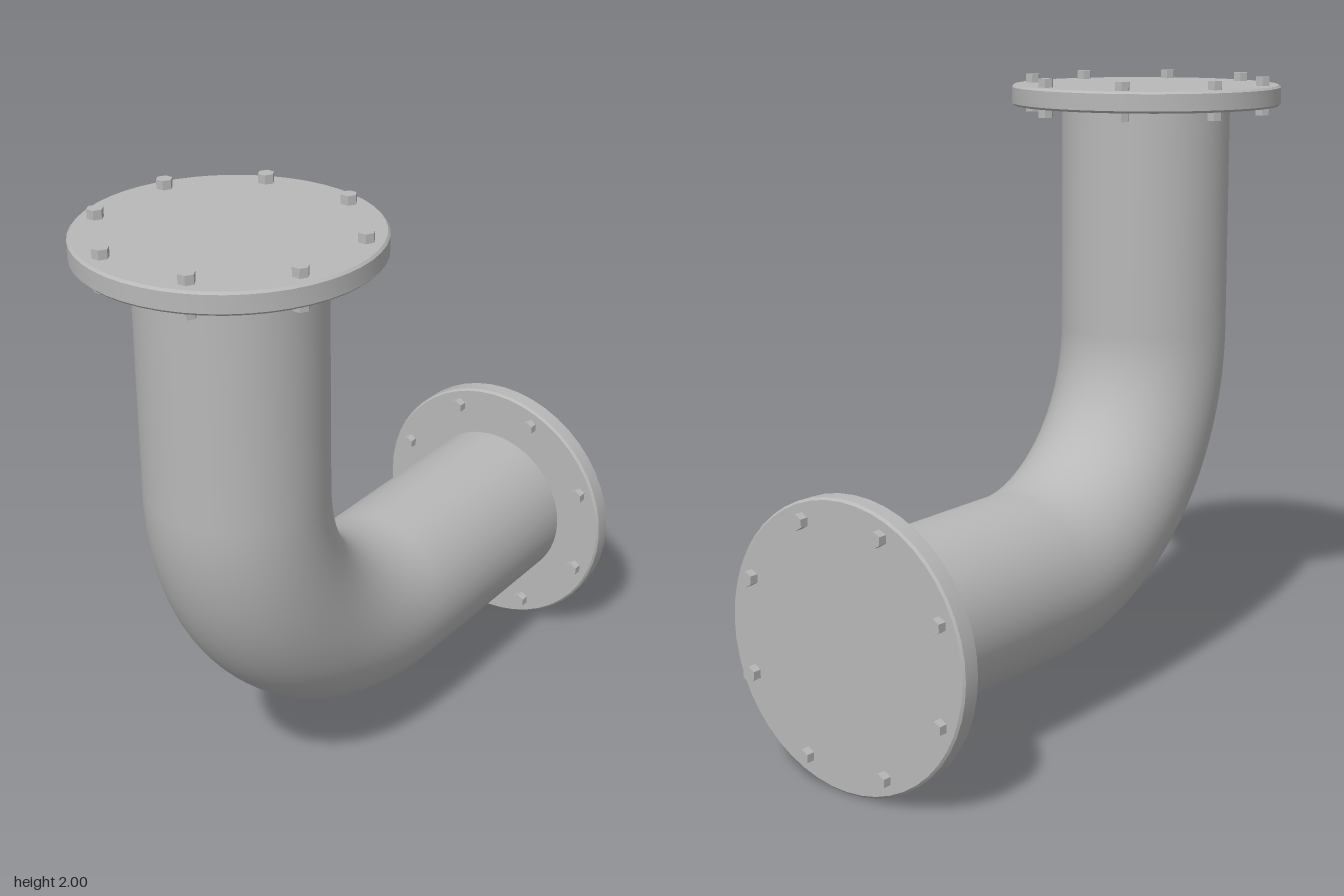
import * as THREE from 'three';
import { toCreasedNormals } from 'three/addons/utils/BufferGeometryUtils.js';

const PIPE_R = 0.278, BEND_R = 0.722, FLANGE_R = 0.444;
const AXIS_X = -0.556, AXIS_Y = 0.444; // centre lines of the two pipe legs
const BEND_X = AXIS_X + BEND_R, BEND_Y = AXIS_Y + BEND_R;

export function createModel() {
  const steel = new THREE.MeshStandardMaterial({ color: 0xb8b8b8 });
  steel.name = 'steel grey';
  const model = new THREE.Group();
  model.name = 'flangedPipeElbow';

  const add = (parent, name, geometry, x = 0, y = 0, z = 0) => {
    const mesh = new THREE.Mesh(geometry, steel);
    mesh.name = name;
    mesh.position.set(x, y, z);
    parent.add(mesh);
    return mesh;
  };

  // Quarter bend
  const bend = add(model, 'bend', new THREE.TorusGeometry(BEND_R, PIPE_R, 64, 40, Math.PI / 2), BEND_X, BEND_Y);
  bend.rotation.z = Math.PI;

  // Flange disc with softened edges, and its ring of hexagonal bolts
  const profile = [[0, -0.067], [0.437, -0.067], [FLANGE_R, -0.06], [FLANGE_R, -0.007], [0.437, 0], [0, 0]]
    .map(([r, y]) => new THREE.Vector2(r, y));
  const flangeGeo = toCreasedNormals(new THREE.LatheGeometry(profile, 48), 0.6);
  const boltGeo = toCreasedNormals(new THREE.CylinderGeometry(0.025, 0.025, 0.124, 6), 0.6);

  // One straight leg, built along +y from the bend end at y = 0
  const makeLeg = (name, length) => {
    const leg = new THREE.Group();
    leg.name = name;
    add(leg, 'pipe', new THREE.CylinderGeometry(PIPE_R, PIPE_R, length, 64, 1, true), 0, length / 2);
    add(leg, 'flange', flangeGeo, 0, length + 0.057);
    for (let i = 0; i < 8; i++) {
      const a = (i + 0.5) * Math.PI / 4;
      add(leg, 'bolt', boltGeo, 0.387 * Math.cos(a), length + 0.023, 0.387 * Math.sin(a));
    }
    model.add(leg);
    return leg;
  };

  const upright = makeLeg('uprightLeg', 1.915 - BEND_Y);
  upright.position.set(AXIS_X, BEND_Y, 0);

  // The level leg points along +x
  const level = makeLeg('levelLeg', 0.915 - BEND_X);
  level.quaternion.setFromRotationMatrix(new THREE.Matrix4().makeBasis(
    new THREE.Vector3(0, 0, 1), new THREE.Vector3(1, 0, 0), new THREE.Vector3(0, 1, 0)));
  level.position.set(BEND_X, AXIS_Y, 0);

  return model;
}
